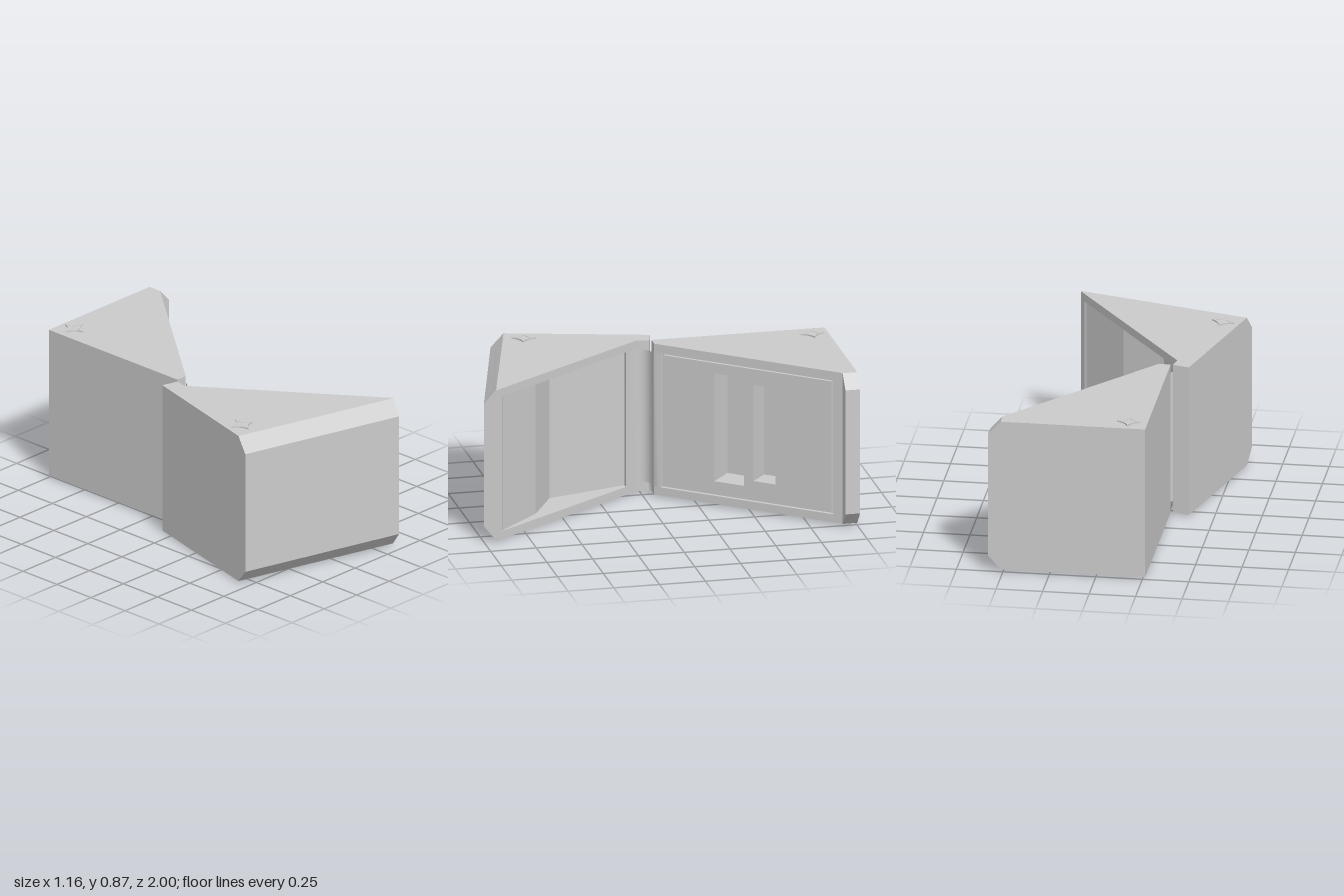
import * as THREE from 'three';

const grey = new THREE.MeshStandardMaterial({ color: 0xcccccc });
const sheet = new THREE.MeshStandardMaterial({ color: 0xcccccc, side: THREE.DoubleSide });

// Prism between two plan outlines [x, z] with equal point counts
function addBand(pos, y0, low, y1, high) {
  const flat = (p) => p.map(([x, z]) => new THREE.Vector2(x, -z));
  if (THREE.ShapeUtils.area(flat(low)) < 0) {
    low = [...low].reverse();
    high = [...high].reverse();
  }
  const put = (p, y) => pos.push(p[0], y, p[1]);
  for (const [a, b, c] of THREE.ShapeUtils.triangulateShape(flat(low), [])) {
    put(low[c], y0); put(low[b], y0); put(low[a], y0);
  }
  for (const [a, b, c] of THREE.ShapeUtils.triangulateShape(flat(high), [])) {
    put(high[a], y1); put(high[b], y1); put(high[c], y1);
  }
  low.forEach((p, i) => {
    const j = (i + 1) % low.length;
    put(p, y0); put(low[j], y0); put(high[j], y1);
    put(p, y0); put(high[j], y1); put(high[i], y1);
  });
}

// Stack of bands; plan(y, mid) gives the outline, mid selects the notches
function stack(name, levels, plan) {
  const pos = [];
  for (let i = 0; i + 1 < levels.length; i++) {
    const y0 = levels[i], y1 = levels[i + 1], mid = (y0 + y1) / 2;
    addBand(pos, y0, plan(y0, mid), y1, plan(y1, mid));
  }
  const geo = new THREE.BufferGeometry();
  geo.setAttribute('position', new THREE.Float32BufferAttribute(pos, 3));
  geo.computeVertexNormals();
  const mesh = new THREE.Mesh(geo, grey);
  mesh.name = name;
  return mesh;
}

// Chamfer amount: 0 in the middle, 1 at the top and bottom faces
const chamfer = (y, lo, hi, size) =>
  THREE.MathUtils.clamp(Math.max(lo + size - y, y - hi + size) / size, 0, 1);
const mix = (a, b, t) => [a[0] + (b[0] - a[0]) * t, a[1] + (b[1] - a[1]) * t];
const within = (y, a, b) => y > a && y < b;

// Rear wedge: panel with a groove round it and two deep slots
function rearWedge() {
  const lo = 0.015, hi = 0.86;
  const diagonal = (z, d) => [
    -0.2 + ((z + 0.055) / -0.865) * 0.71 - 0.773 * d, z - 0.634 * d];
  const notch = (z0, z1, d, base) => [
    diagonal(z0, base), diagonal(z0, d), diagonal(z1, d), diagonal(z1, base)];
  return stack('rearWedge',
    [lo, 0.06, 0.068, 0.09, 0.14, 0.175, 0.715, 0.745, 0.785, 0.802, 0.81, hi],
    (y, mid) => {
      const end = 0.58 - 0.068 * chamfer(y, lo, hi, 0.075);
      const face = [];
      if (within(mid, 0.068, 0.802)) {
        const base = 0.004;
        face.push(diagonal(-0.878, 0), diagonal(-0.878, 0.02), diagonal(-0.868, 0.02), diagonal(-0.868, base));
        if (within(mid, 0.175, 0.715)) face.push(...notch(-0.61, -0.51, 0.13, base));
        if (within(mid, 0.14, 0.745)) face.push(...notch(-0.465, -0.33, 0.16, base));
        face.push(diagonal(-0.095, base), diagonal(-0.095, 0.02), diagonal(-0.085, 0.02), diagonal(-0.085, 0));
      } else if (within(mid, 0.06, 0.81)) {
        face.push(...notch(-0.878, -0.085, 0.02, 0));
      }
      return [[-0.265, -1], [end, -1], [end, -0.92], [0.51, -0.92],
        ...face, [-0.2, -0.055], [-0.265, -0.055]];
    });
}

// Front wedge: turned about the hinge, with a faceted cavity
function frontWedge() {
  const lo = 0.01, hi = 0.855;
  return stack('frontWedge', [lo, 0.055, 0.09, 0.775, 0.81, hi], (y, mid) => {
    const c = chamfer(y, lo, hi, 0.08);
    const cavity = within(mid, 0.055, 0.81)
      ? [[-0.24, 0.09], [-0.27, 0.092], [-0.144, 0.53], [0.094, 0.66], [0.325, 0.893], [0.3386, 0.9]]
      : [];
    return [[-0.365, -0.07], [-0.275, -0.045], [-0.29, 0.02], ...cavity, [0.36, 0.93],
      mix([0.34, 1], [0.358, 0.937], c), mix([-0.585, 0.75], [-0.567, 0.683], c)];
  });
}

// Curved sheet joining the two wedges
function hingeStrip() {
  const curve = new THREE.QuadraticBezierCurve(
    new THREE.Vector2(-0.19, -0.052), new THREE.Vector2(-0.282, -0.052), new THREE.Vector2(-0.283, 0.024));
  const path = [new THREE.Vector2(-0.174, -0.078), ...curve.getPoints(12), new THREE.Vector2(-0.236, 0.088)];
  const geo = new THREE.PlaneGeometry(1, 1, path.length - 1, 1);
  const p = geo.attributes.position;
  for (let i = 0; i < p.count; i++) {
    const q = path[i % path.length];
    p.setXYZ(i, q.x, i < path.length ? 0.805 : 0.065, q.y);
  }
  geo.computeVertexNormals();
  const mesh = new THREE.Mesh(geo, sheet);
  mesh.name = 'hingeStrip';
  return mesh;
}

// Raised four-pointed ornament: outer ring with a small raised centre
function starPath(path, r) {
  const at = (k, s) => [Math.cos(k * Math.PI / 4) * r * s, Math.sin(k * Math.PI / 4) * r * s];
  path.moveTo(r, 0);
  for (let k = 0; k < 8; k += 2) path.quadraticCurveTo(...at(k + 1, 0.34), ...at(k + 2, 1));
  return path;
}
function ornament(x, y, z, turn) {
  const ring = starPath(new THREE.Shape(), 0.065);
  ring.holes.push(starPath(new THREE.Path(), 0.042));
  const group = new THREE.Group();
  group.name = 'starOrnament';
  for (const [shape, depth] of [[ring, 0.016], [starPath(new THREE.Shape(), 0.042), 0.012]]) {
    const geo = new THREE.ExtrudeGeometry(shape, { depth, bevelEnabled: false, curveSegments: 5 });
    geo.translate(0, 0, -depth / 2);
    geo.rotateX(-Math.PI / 2);
    group.add(new THREE.Mesh(geo, grey));
  }
  group.children[0].name = 'starRing';
  group.children[1].name = 'starCentre';
  group.position.set(x, y, z);
  group.rotation.y = turn;
  return group;
}

export function createModel() {
  const model = new THREE.Group();
  model.name = 'hingedCase';
  model.add(rearWedge(), frontWedge(), hingeStrip());
  for (const y of [0.015, 0.86]) model.add(ornament(-0.165, y, -0.91, 0));
  for (const y of [0.009, 0.855]) model.add(ornament(-0.452, y, 0.6, -0.26));
  return model;
}
